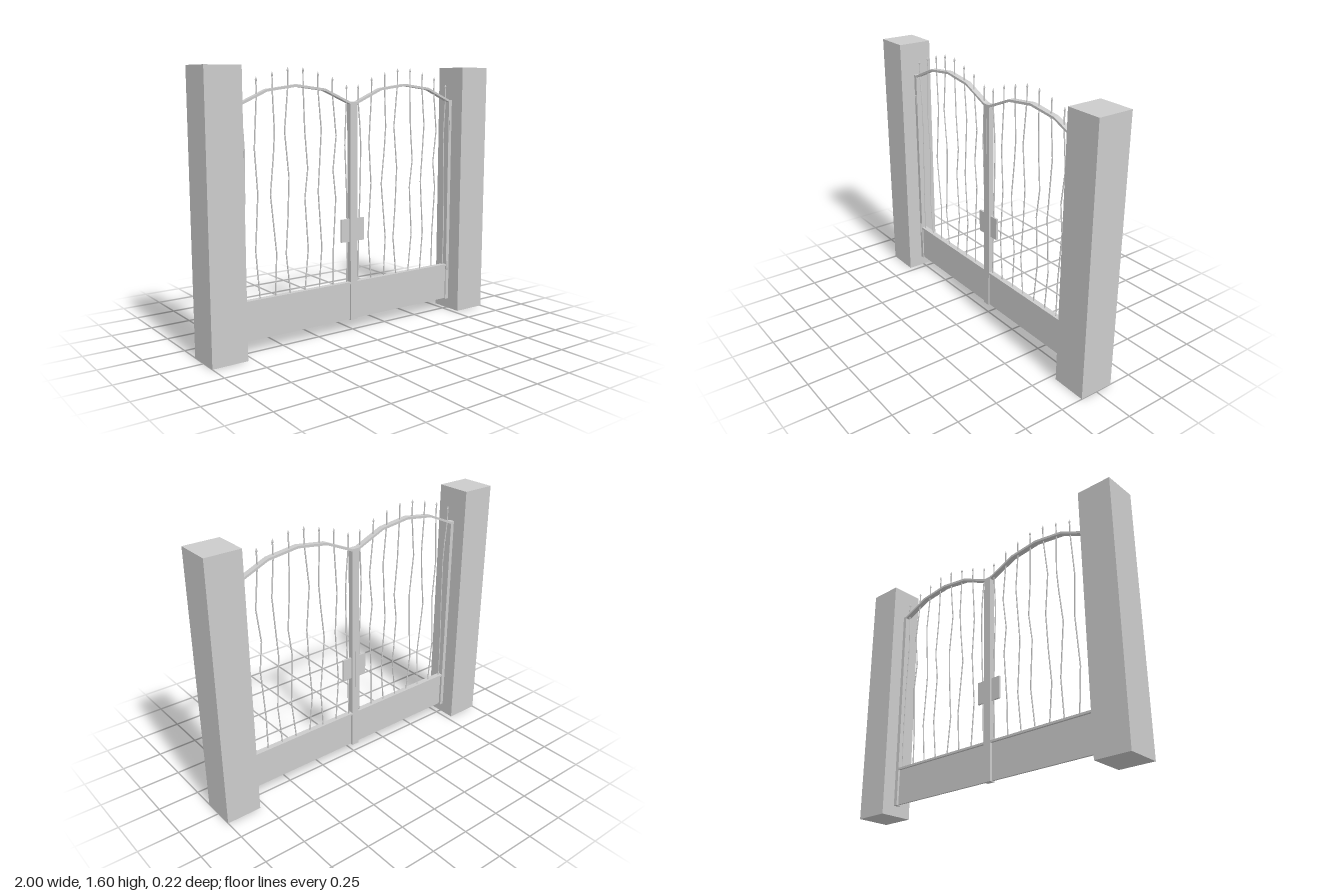
import * as THREE from 'three';

const material = new THREE.MeshStandardMaterial({ color: 0xcccccc, flatShading: true });
const GATE_Z = -0.003, DEPTH = 0.035, HALF = 0.3925;

function add(parent, name, geometry, x = 0, y = 0, z = 0) {
  const mesh = new THREE.Mesh(geometry, material);
  mesh.name = name;
  mesh.position.set(x, y, z);
  parent.add(mesh);
  return mesh;
}

function addBox(parent, name, x0, x1, y0, y1, z0, z1) {
  return add(parent, name, new THREE.BoxGeometry(x1 - x0, y1 - y0, z1 - z0),
    (x0 + x1) / 2, (y0 + y1) / 2, (z0 + z1) / 2);
}

// Round bar whose rings follow a list of [x, y] points
function bentBar(points, radius) {
  const n = points.length - 1;
  const geometry = new THREE.CylinderGeometry(radius, radius, n, 6, n);
  const pos = geometry.attributes.position;
  for (let i = 0; i < pos.count; i++) {
    const [x, y] = points[Math.round(pos.getY(i) + n / 2)];
    pos.setX(i, pos.getX(i) + x);
    pos.setY(i, y);
  }
  geometry.computeVertexNormals();
  return geometry;
}

// Faceted arched top rail
function archGeometry() {
  const top = [[-HALF, 1.395], [-0.37, 1.395], [-0.19, 1.474], [0, 1.499],
    [0.19, 1.474], [0.37, 1.395], [HALF, 1.395]];
  const bottom = top.map(([x, y]) => [x, y - 0.014]).reverse();
  const shape = new THREE.Shape([...top, ...bottom].map(([x, y]) => new THREE.Vector2(x, y)));
  return new THREE.ExtrudeGeometry(shape, { depth: DEPTH, bevelEnabled: false });
}

// Bends of each bar as [height, sideways offset]
const bends = [
  [[0.6, 0.005], [0.87, 0.015], [1.13, 0.02], [1.25, 0.014]],
  [[0.58, -0.022], [0.9, -0.002], [1.15, -0.018], [1.25, -0.012]],
  [[0.55, 0.012], [0.89, -0.022], [1.1, 0], [1.24, 0.01]],
  [[0.54, -0.025], [0.75, -0.01], [0.98, 0], [1.24, -0.025]],
  [[0.55, 0.025], [0.85, 0.005], [1.02, 0.026], [1.24, 0.008]],
  [[0.55, 0.02], [0.88, -0.003], [1.1, 0.012], [1.24, 0.021]],
  [[0.52, 0.002], [0.83, 0.021], [1.0, 0.002], [1.2, 0.025]],
  [[0.55, 0.004], [0.85, 0], [1.14, -0.012], [1.25, -0.008]],
];
const tipHeights = [1.497, 1.542, 1.57, 1.595];

// One gate leaf; side is +1 for the left leaf and -1 for the right leaf
function createLeaf(side) {
  const leaf = new THREE.Group();
  leaf.name = side > 0 ? 'leftLeaf' : 'rightLeaf';
  leaf.position.set(side * HALF, 0, GATE_Z);
  const d = DEPTH / 2;

  // Frame
  for (const s of [-1, 1]) {
    const x = s * (HALF - 0.0125);
    addBox(leaf, s === side ? 'hingeStile' : 'meetingStile', x - 0.0123, x + 0.0123, 0.065, 1.39, -d, d);
  }
  add(leaf, 'archedTopRail', archGeometry(), 0, 0, -d);
  addBox(leaf, 'middleRail', -HALF + 0.02, HALF - 0.02, 0.292, 0.305, -d, d);
  addBox(leaf, 'lowerPanel', -HALF + 0.02, HALF - 0.02, 0.07, 0.3, -0.003, 0.01);

  // Wavy bars with spear tips
  const spear = new THREE.LatheGeometry([[0, -0.002], [0.004, 0], [0.0075, 0.012], [0, 0.03]]
    .map(([x, y]) => new THREE.Vector2(x, y)), 4);
  bends.forEach((bend, i) => {
    const x = -0.35 + i * 0.1;
    const tip = tipHeights[Math.min(i, 7 - i)];
    const points = [[0, 0.3], ...bend.map(([y, dx]) => [dx, y]), [0, tip - 0.1], [0, tip - 0.028]];
    add(leaf, 'wavyBar', bentBar(points, 0.004), x);
    add(leaf, 'spearTip', spear, x, tip - 0.03);
  });

  // Lock plate beside the meeting stile
  const lock = add(leaf, 'lockPlate', new THREE.BoxGeometry(0.06, 0.14, 0.012));
  lock.position.set(side * (0.055 - HALF), 0.625, 0);

  // Hinges on the outer stile
  for (const y of [0.298, 1.23]) {
    const pin = add(leaf, 'hingePin', new THREE.CylinderGeometry(0.005, 0.005, 0.066, 8),
      side * (HALF - 0.015), y, d + 0.003);
    pin.rotation.z = side * 0.06;
  }
  return leaf;
}

export function createModel() {
  const model = new THREE.Group();
  model.name = 'doubleGate';
  for (const side of [-1, 1]) {
    const x = side * 0.8925;
    addBox(model, side > 0 ? 'leftPillar' : 'rightPillar', x - 0.1075, x + 0.1075, 0, 1.6, -0.108, 0.108);
    model.add(createLeaf(side));
  }
  return model;
}
